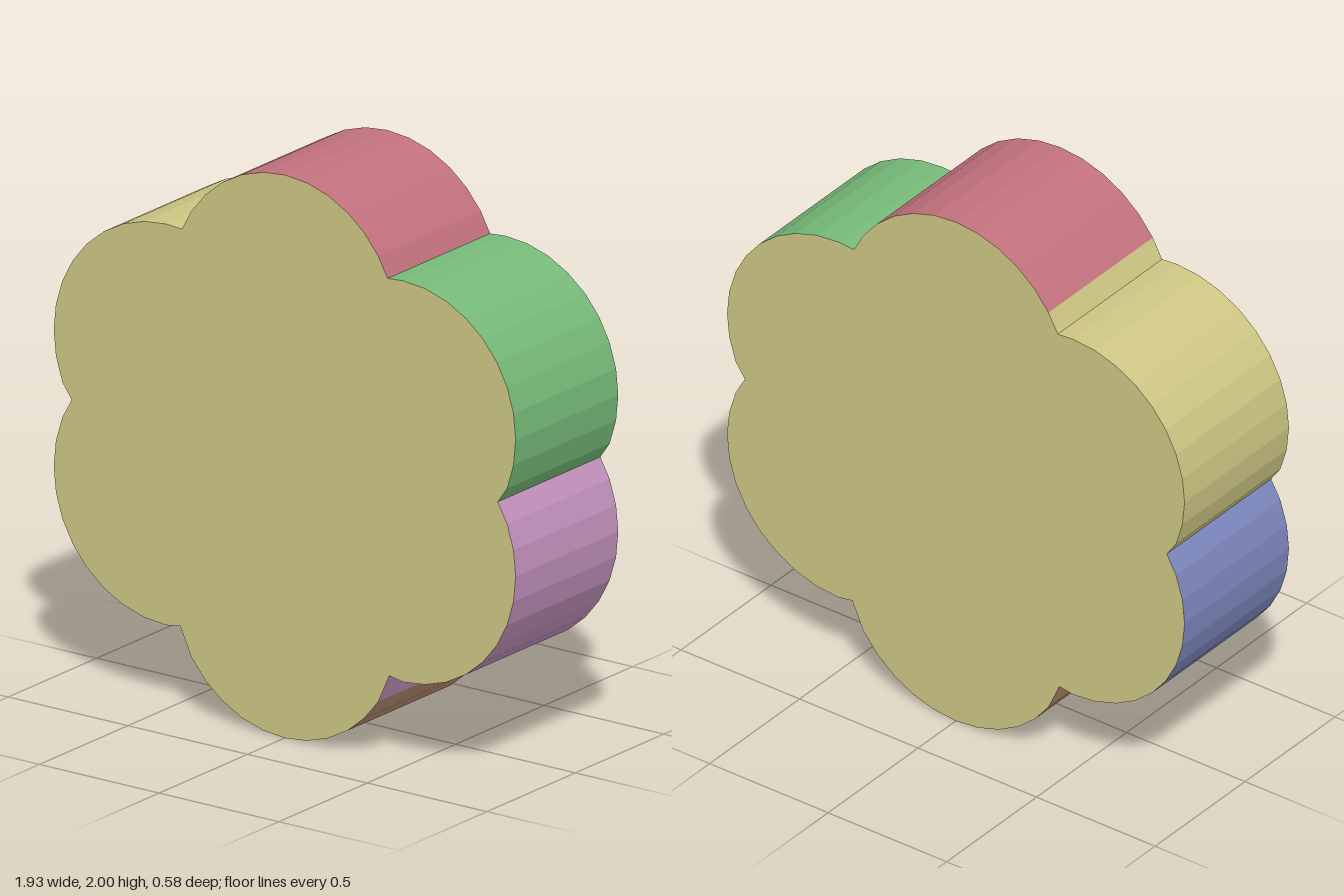
import * as THREE from 'three';

const RADIUS = 0.47;
const DEPTH = 0.58;
const STEP = Math.PI / 16; // petals are arcs of a 32-sided circle
const YELLOW = 0xcdc683;

// Notches between petals, clockwise from the upper left petal
const notches = [[-0.89, 1.02], [-0.43, 1.72], [0.43, 1.72], [0.89, 1.02], [0.437, 0.31], [-0.437, 0.31]];

// Petals in the same order; petal i runs from notch i to notch i + 1.
// extra: facets of the next petal that share this petal's colour
const petals = [
  { name: 'upperRightPetal', center: [-0.495, 1.255], color: YELLOW, extra: 1 },
  { name: 'topPetal', center: [0, 1.53], color: 0xc2727e, extra: 0 },
  { name: 'upperLeftPetal', center: [0.495, 1.255], color: 0x77bb79, extra: 0 },
  { name: 'lowerLeftPetal', center: [0.495, 0.77], color: 0xc694c0, extra: 1 },
  { name: 'bottomPetal', center: [0, 0.47], color: 0xb98d70, extra: 0 },
  { name: 'lowerRightPetal', center: [-0.495, 0.77], color: 0x8089c0, extra: 0 },
];

// Clockwise arc points of one petal, starting at its first notch
function petalPoints([cx, cy], from, to) {
  const start = Math.atan2(from[1] - cy, from[0] - cx);
  let end = Math.atan2(to[1] - cy, to[0] - cx);
  if (end > start) end -= Math.PI * 2;
  const points = [new THREE.Vector2(...from)];
  for (let k = Math.ceil(start / STEP - 0.25) - 1; k * STEP > end + STEP * 0.25; k--) {
    points.push(new THREE.Vector2(cx + RADIUS * Math.cos(k * STEP), cy + RADIUS * Math.sin(k * STEP)));
  }
  return points;
}

// Flat-faceted side wall along a clockwise run of points
function wallGeometry(points) {
  const positions = [];
  const h = DEPTH / 2;
  for (let i = 0; i < points.length - 1; i++) {
    const a = points[i], b = points[i + 1];
    positions.push(a.x, a.y, h, b.x, b.y, h, b.x, b.y, -h);
    positions.push(a.x, a.y, h, b.x, b.y, -h, a.x, a.y, -h);
  }
  const geometry = new THREE.BufferGeometry();
  geometry.setAttribute('position', new THREE.Float32BufferAttribute(positions, 3));
  geometry.computeVertexNormals();
  return geometry;
}

export function createModel() {
  const group = new THREE.Group();
  group.name = 'flowerBlock';
  const add = (name, geometry, color) => {
    const mesh = new THREE.Mesh(geometry, new THREE.MeshStandardMaterial({ color }));
    mesh.name = name;
    group.add(mesh);
    return mesh;
  };

  // Whole outline, with the first point of each petal remembered
  const outline = [];
  const starts = [];
  petals.forEach((petal, i) => {
    starts.push(outline.length);
    outline.push(...petalPoints(petal.center, notches[i], notches[(i + 1) % 6]));
  });
  starts.push(outline.length);

  // Coloured petal sides
  petals.forEach((petal, i) => {
    const first = starts[i] + (i > 0 ? petals[i - 1].extra : 0);
    const last = starts[i + 1] + petal.extra;
    const run = [];
    for (let k = first; k <= last; k++) run.push(outline[k % outline.length]);
    add(petal.name, wallGeometry(run), petal.color);
  });

  // Flat front and back faces (the outline is left-right symmetric, so the back is turned around)
  const front = new THREE.ShapeGeometry(new THREE.Shape(outline));
  add('frontFace', front, YELLOW).position.z = DEPTH / 2;
  const back = new THREE.ShapeGeometry(new THREE.Shape(outline)).rotateY(Math.PI);
  add('backFace', back, YELLOW).position.z = -DEPTH / 2;

  return group;
}
